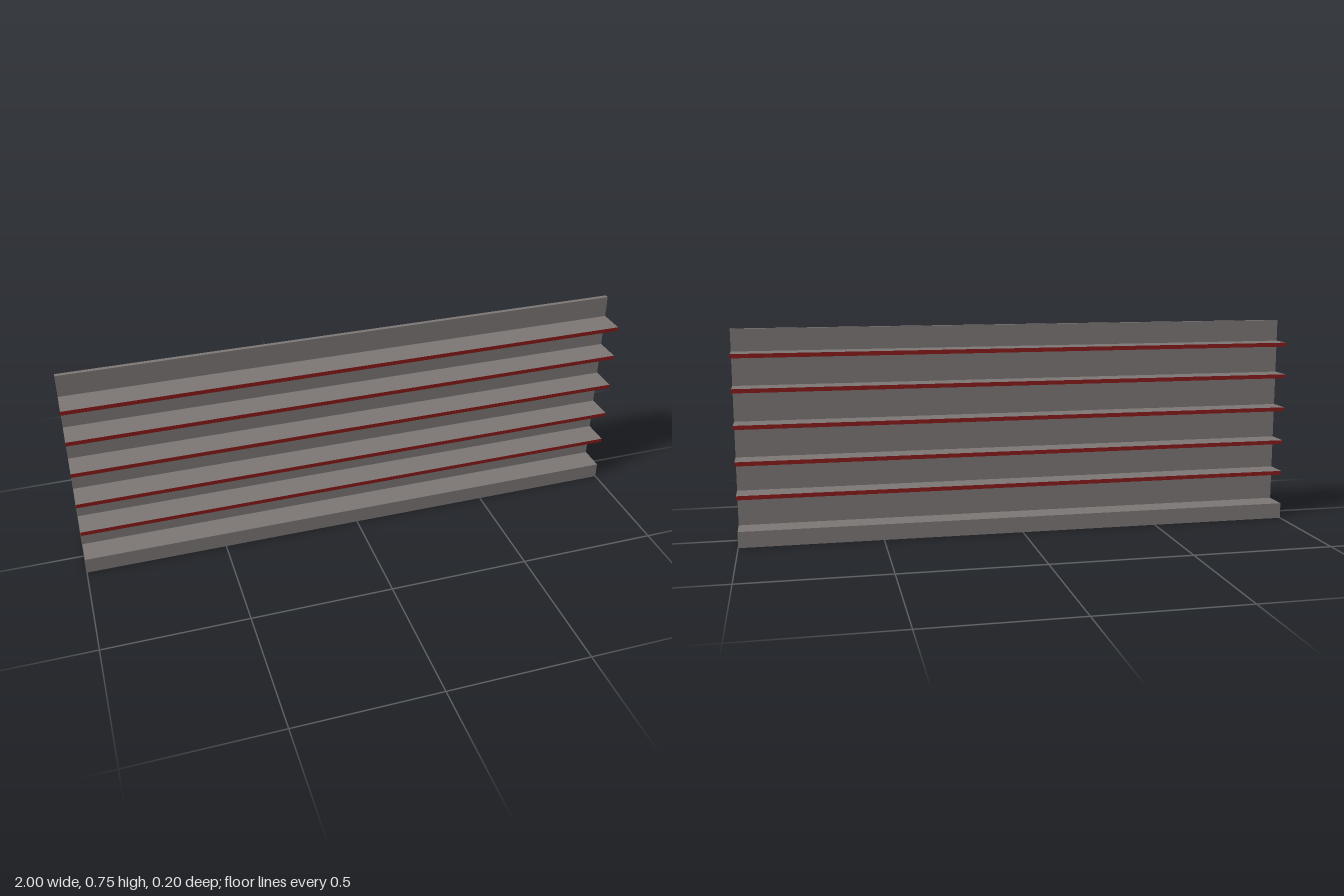
import * as THREE from 'three';

export function createModel() {
  const model = new THREE.Group();
  model.name = 'doubleSidedShelf';

  const grey = new THREE.MeshStandardMaterial({ color: 0x7d7876 });
  grey.name = 'warm grey';
  const red = new THREE.MeshStandardMaterial({ color: 0x8b1a1a });
  red.name = 'dark red';

  // Full-length box given by its height and depth ranges
  function addBox(name, y0, y1, z0, z1, material) {
    const mesh = new THREE.Mesh(new THREE.BoxGeometry(2, y1 - y0, z1 - z0), material);
    mesh.position.set(0, (y0 + y1) / 2, (z0 + z1) / 2);
    mesh.name = name;
    model.add(mesh);
  }

  // Plinth and upright panel
  addBox('base', 0, 0.057, -0.101, 0.097, grey);
  addBox('centrePanel', 0.057, 0.745, -0.0105, 0.0045, grey);

  // Shelves pass through the panel; their long front and back edges are red
  const shelfFaces = [grey, grey, grey, grey, red, red];
  [0.167, 0.285, 0.4105, 0.2855 + 0.2495, 0.653].forEach((y, i) => {
    addBox('shelf' + (i + 1), y, y + 0.0145, -0.0955, 0.1025, shelfFaces);
  });

  return model;
}
